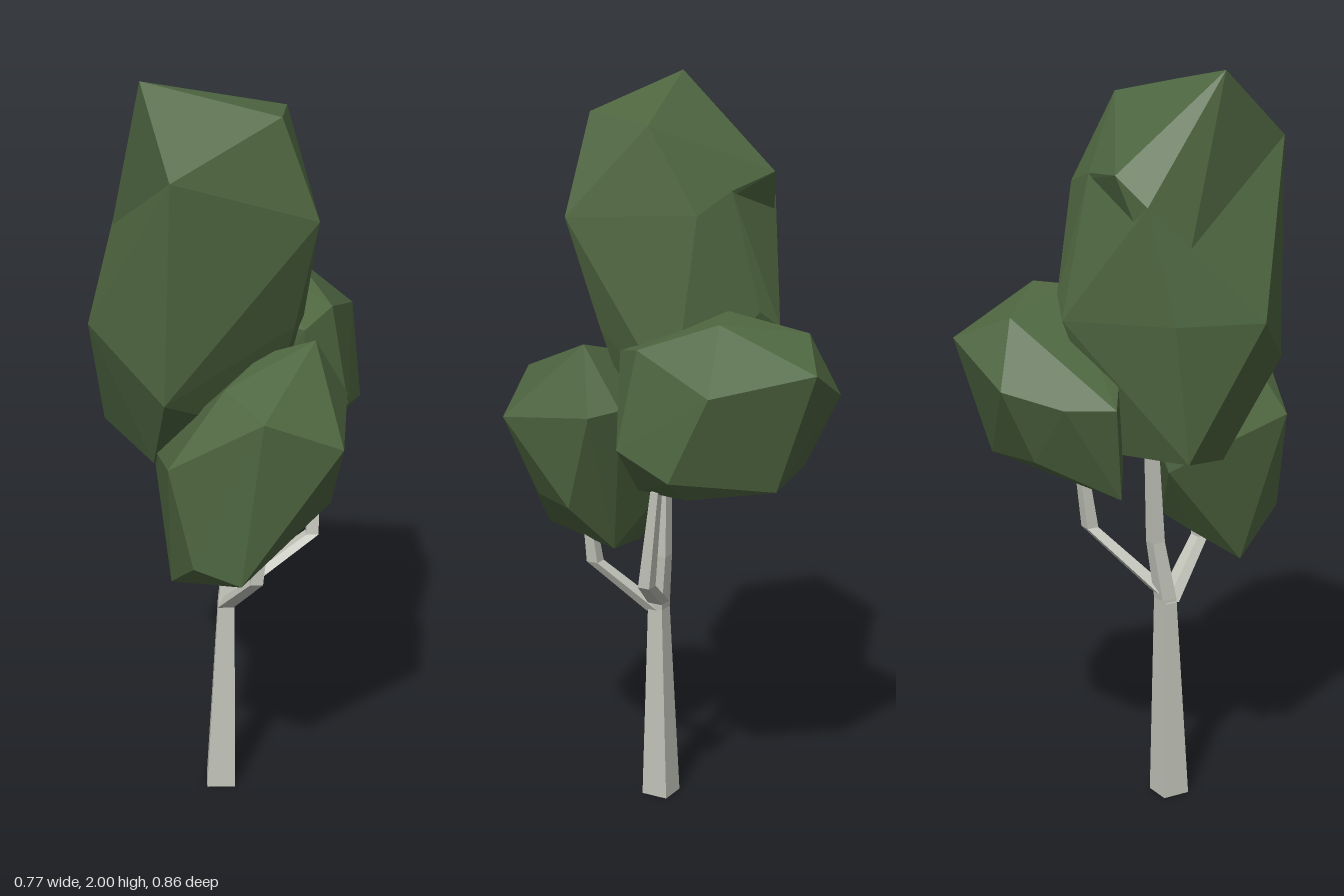
import * as THREE from 'three';
import { ConvexGeometry } from 'three/addons/geometries/ConvexGeometry.js';

const leaf = new THREE.MeshStandardMaterial({ color: 0x4f6741, flatShading: true });
leaf.name = 'leafGreen';
const bark = new THREE.MeshStandardMaterial({ color: 0xc2c4ba, flatShading: true });
bark.name = 'paleBark';

const vec = (p) => new THREE.Vector3(...p);

// Faceted leaf mass from its corner points
function foliage(name, corners) {
  const mesh = new THREE.Mesh(new ConvexGeometry(corners.map(vec)), leaf);
  mesh.name = name;
  return mesh;
}

// Four-sided tapered limb through points [x, y, z, radius]; level, slightly turned rings meet at the joints
function limb(name, path) {
  const pos = [], index = [];
  const ring = [[-0.974, -0.225], [-0.225, 0.974], [0.974, 0.225], [0.225, -0.974]];
  for (const [x, y, z, r] of path) {
    for (const [a, b] of ring) pos.push(x + a * r, y, z + b * r);
  }
  for (let i = 0; i < path.length - 1; i++) {
    for (let j = 0; j < 4; j++) {
      const a = i * 4 + j, b = i * 4 + (j + 1) % 4;
      index.push(a, b, b + 4, a, b + 4, a + 4);
    }
  }
  const t = (path.length - 1) * 4;
  index.push(0, 2, 1, 0, 3, 2, t, t + 1, t + 2, t, t + 2, t + 3);
  const geo = new THREE.BufferGeometry();
  geo.setAttribute('position', new THREE.Float32BufferAttribute(pos, 3));
  geo.setIndex(index);
  const flat = geo.toNonIndexed();
  flat.computeVertexNormals();
  const mesh = new THREE.Mesh(flat, bark);
  mesh.name = name;
  return mesh;
}

export function createModel() {
  const tree = new THREE.Group();
  tree.name = 'tree';

  // Trunk with a straight leader, and two bent side branches
  tree.add(
    limb('trunk', [[-0.035, 0, 0.125, 0.054], [-0.022, 0.56, 0.112, 0.031],
      [-0.02, 0.72, 0.085, 0.026], [-0.02, 1.08, 0.07, 0.018]]),
    limb('frontBranch', [[-0.02, 0.55, 0.12, 0.03], [0.125, 0.69, 0.205, 0.024],
      [0.15, 0.86, 0.2, 0.015]]),
    limb('backBranch', [[-0.015, 0.58, 0.1, 0.03], [0.125, 0.71, -0.095, 0.024],
      [0.115, 0.98, -0.13, 0.016]]),
  );

  // Tall crown: upper and lower masses share a seam, which leaves shallow notches
  const seam = [
    [0.005, 1.81, 0.41], [0.25, 1.67, 0.11], [0, 1.69, -0.135], [-0.13, 1.735, -0.085],
    [-0.35, 1.69, 0.065], [-0.385, 1.4, 0.135],
  ];
  tree.add(
    foliage('tallCrownTop', [
      ...seam, [-0.175, 2, 0.255], [0.16, 1.93, 0.14], [0.08, 1.91, -0.025], [-0.3, 1.76, -0.015],
    ]),
    foliage('tallCrownBase', [
      ...seam, [-0.275, 1.385, 0.36], [-0.02, 1.23, 0.41], [-0.17, 1.43, -0.165],
      [-0.24, 1.38, -0.15], [-0.3, 1.37, -0.01], [0.165, 1.37, 0.08], [-0.36, 1.04, 0.17],
      [-0.15, 0.99, 0.26], [-0.2, 1.02, -0.02], [0.06, 1.05, 0.05], [0.06, 1.2, -0.12],
    ]),
  );

  // Low front crown
  tree.add(foliage('frontCrown', [
    [0.22, 1.34, 0.07], [0.1, 1.3, 0.13], [0.09, 1.26, 0.3], [0.24, 1.22, 0.365],
    [0.385, 1.13, 0.22], [0, 1.07, 0.43], [-0.17, 1.02, 0.23], [0.26, 1.17, -0.03],
    [0.17, 1.18, -0.035], [0.28, 0.9, 0.23], [0.27, 0.9, 0.07], [0.06, 0.8, 0.41],
    [-0.07, 0.69, 0.31], [0.18, 0.765, 0.375], [0.12, 0.755, 0.1], [-0.08, 0.93, 0.12],
    [0.03, 0.74, 0.17], [0.02, 1.16, 0.05],
  ]));

  // Wide back crown
  tree.add(foliage('backCrown', [
    [-0.085, 1.44, -0.15], [-0.01, 1.43, -0.235], [-0.25, 1.39, -0.28], [0.165, 1.36, -0.12],
    [-0.18, 1.32, -0.43], [0.095, 1.28, -0.365], [0.165, 1.05, -0.285], [0.22, 1.1, -0.11],
    [0.15, 1.33, 0], [-0.335, 1.22, -0.3], [-0.365, 1.18, -0.14], [-0.36, 1.18, -0.01],
    [-0.28, 0.92, 0], [-0.14, 0.92, 0], [0.12, 0.96, -0.04], [-0.12, 1, -0.34],
    [0.1, 0.99, -0.26], [-0.28, 1.02, -0.22], [-0.1, 1.34, 0],
  ]));

  return tree;
}
